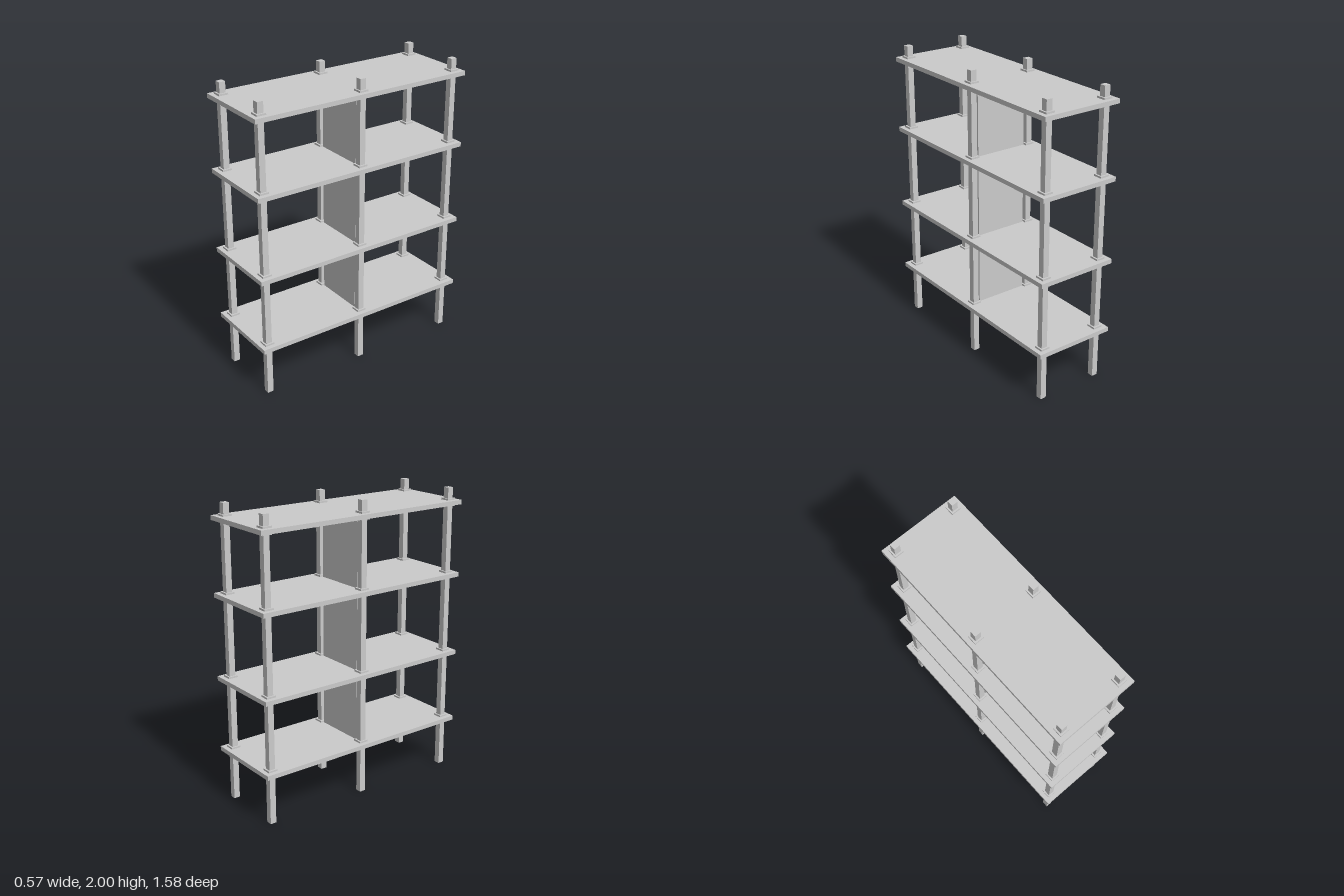
import * as THREE from 'three';

export function createModel() {
  const group = new THREE.Group();
  const material = new THREE.MeshStandardMaterial({ color: 0xcccccc });

  const shelfHeights = [0.351, 0.848, 1.407, 1.902];
  const shelfThickness = 0.03;

  function addBox(name, size, position) {
    const mesh = new THREE.Mesh(new THREE.BoxGeometry(...size), material);
    mesh.name = name;
    mesh.position.set(...position);
    group.add(mesh);
  }

  // Shelf boards
  for (const y of shelfHeights) addBox('shelf', [0.566, shelfThickness, 1.58], [0, y, 0]);

  // Square posts, each with a collar gripping every shelf
  for (const x of [-0.22, 0.22]) {
    for (const z of [-0.728, 0, 0.728]) {
      addBox('post', [0.042, 2, 0.042], [x, 1, z]);
      for (const y of shelfHeights) addBox('collar', [0.064, 0.054, 0.064], [x, y, z]);
    }
  }

  // Upright dividers between neighbouring shelves
  for (let i = 0; i < shelfHeights.length - 1; i++) {
    const low = shelfHeights[i] + shelfThickness / 2;
    const high = shelfHeights[i + 1] - shelfThickness / 2;
    addBox('divider', [0.366, high - low, 0.02], [0, (low + high) / 2, 0]);
  }

  return group;
}
